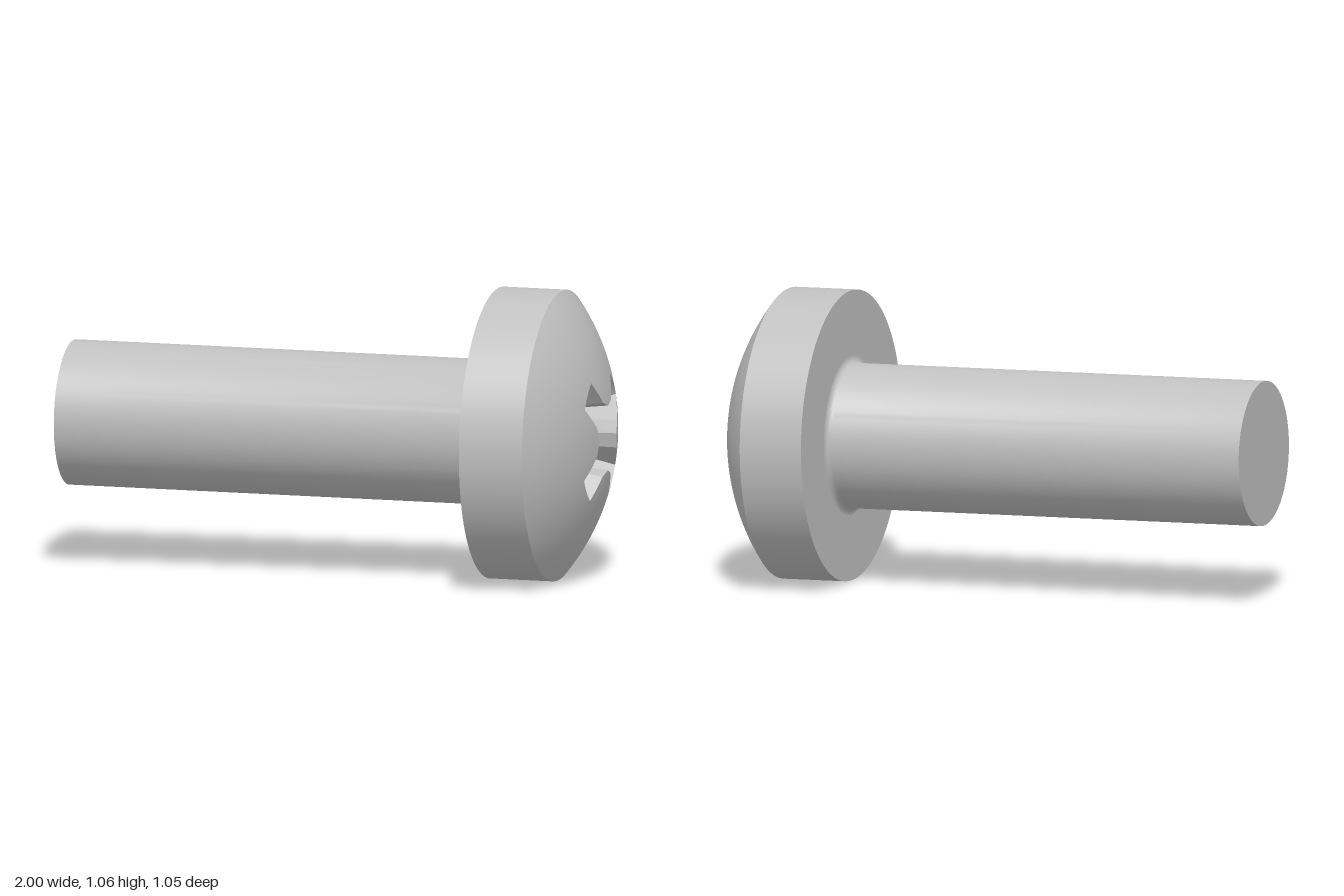
import * as THREE from 'three';
import { toCreasedNormals } from 'three/addons/utils/BufferGeometryUtils.js';

const HEAD_R = 0.527, RIM_Y = 0.82, APEX_Y = 1.008;
const SAG = APEX_Y - RIM_Y;
const DOME_R = (HEAD_R ** 2 + SAG ** 2) / (2 * SAG);
const domeY = (r) => APEX_Y - DOME_R + Math.sqrt(DOME_R ** 2 - r * r);

// Full cross outline (four arms on the diagonals) from petal tip, inner corner and arm end
function crossOutline(tip, inner, outer) {
  const quarter = [];
  const line = (a, b, n) => {
    for (let i = 0; i < n; i++) {
      const t = i / n;
      quarter.push([a[0] + (b[0] - a[0]) * t, a[1] + (b[1] - a[1]) * t]);
    }
  };
  const swap = (p) => [p[1], p[0]];
  line([tip, 0], inner, 6);
  line(inner, outer, 3);
  const r = Math.hypot(...outer), start = Math.atan2(outer[1], outer[0]);
  for (let i = 0; i < 8; i++) {
    const a = start + (Math.PI / 2 - 2 * start) * (i / 8);
    quarter.push([r * Math.cos(a), r * Math.sin(a)]);
  }
  line(swap(outer), swap(inner), 3);
  line(swap(inner), [0, tip], 6);
  const all = [];
  for (let k = 0; k < 4; k++) {
    const c = [1, 0, -1, 0][k], s = [0, 1, 0, -1][k];
    for (const [x, z] of quarter) all.push([x * c - z * s, x * s + z * c]);
  }
  return all;
}

// Skin between rings ordered from the centre outwards, facing up
function loft(rings, crease) {
  const pos = [];
  for (let j = 0; j + 1 < rings.length; j++) {
    const A = rings[j], B = rings[j + 1], n = A.length;
    for (let i = 0; i < n; i++) {
      const k = (i + 1) % n;
      pos.push(...A[i], ...B[k], ...B[i]);
      if (Math.hypot(A[i][0] - A[k][0], A[i][2] - A[k][2]) > 1e-6) pos.push(...A[i], ...A[k], ...B[k]);
    }
  }
  const g = new THREE.BufferGeometry();
  g.setAttribute('position', new THREE.Float32BufferAttribute(pos, 3));
  return toCreasedNormals(g, crease);
}

export function createModel() {
  const steel = new THREE.MeshStandardMaterial({ color: 0xc0c0c0 });
  steel.name = 'grey steel';
  const screw = new THREE.Group();
  screw.name = 'screw';
  const add = (name, geometry) => {
    const mesh = new THREE.Mesh(geometry, steel);
    mesh.name = name;
    screw.add(mesh);
  };
  const lathe = (points) =>
    toCreasedNormals(new THREE.LatheGeometry(points.map(([x, y]) => new THREE.Vector2(x, y)), 104), 0.5);

  // Plain shank with a small fillet under the head
  const shankR = 0.2625, seatY = 0.585, fillet = 0.025;
  const shank = [[0, -1], [shankR, -1]];
  for (let i = 0; i <= 6; i++) {
    const a = (i / 6) * Math.PI / 2;
    shank.push([shankR + fillet * (1 - Math.cos(a)), seatY - fillet * (1 - Math.sin(a))]);
  }
  add('shank', lathe(shank));

  // Underside and cylindrical rim of the head
  add('headRim', lathe([[shankR + fillet, seatY], [HEAD_R, seatY], [HEAD_R, RIM_Y]]));

  // Domed top, opened by the cross outline
  const mouth = crossOutline(0.118, [0.135, 0.054], [0.214, 0.129]);
  const domeRings = [];
  for (let j = 0; j <= 14; j++) {
    domeRings.push(mouth.map(([x, z]) => {
      const r0 = Math.hypot(x, z), r = r0 + (HEAD_R - r0) * (j / 14);
      return [x / r0 * r, domeY(r), z / r0 * r];
    }));
  }
  add('headDome', loft(domeRings, 0.5));

  // Tapering cross recess with a shallow conical floor
  const floor = crossOutline(0.083, [0.087, 0.04], [0.0915, 0.0425]);
  add('driveRecess', loft([
    floor.map(() => [0, 0.65, 0]),
    floor.map(([x, z]) => [x, 0.70, z]),
    domeRings[0],
  ], 0.4));

  // Lay the screw along x, tipped very slightly head down
  screw.rotation.z = -Math.PI / 2 - 0.0098;
  screw.position.y = 0.538;
  const model = new THREE.Group();
  model.name = 'machineScrew';
  model.add(screw);
  return model;
}
